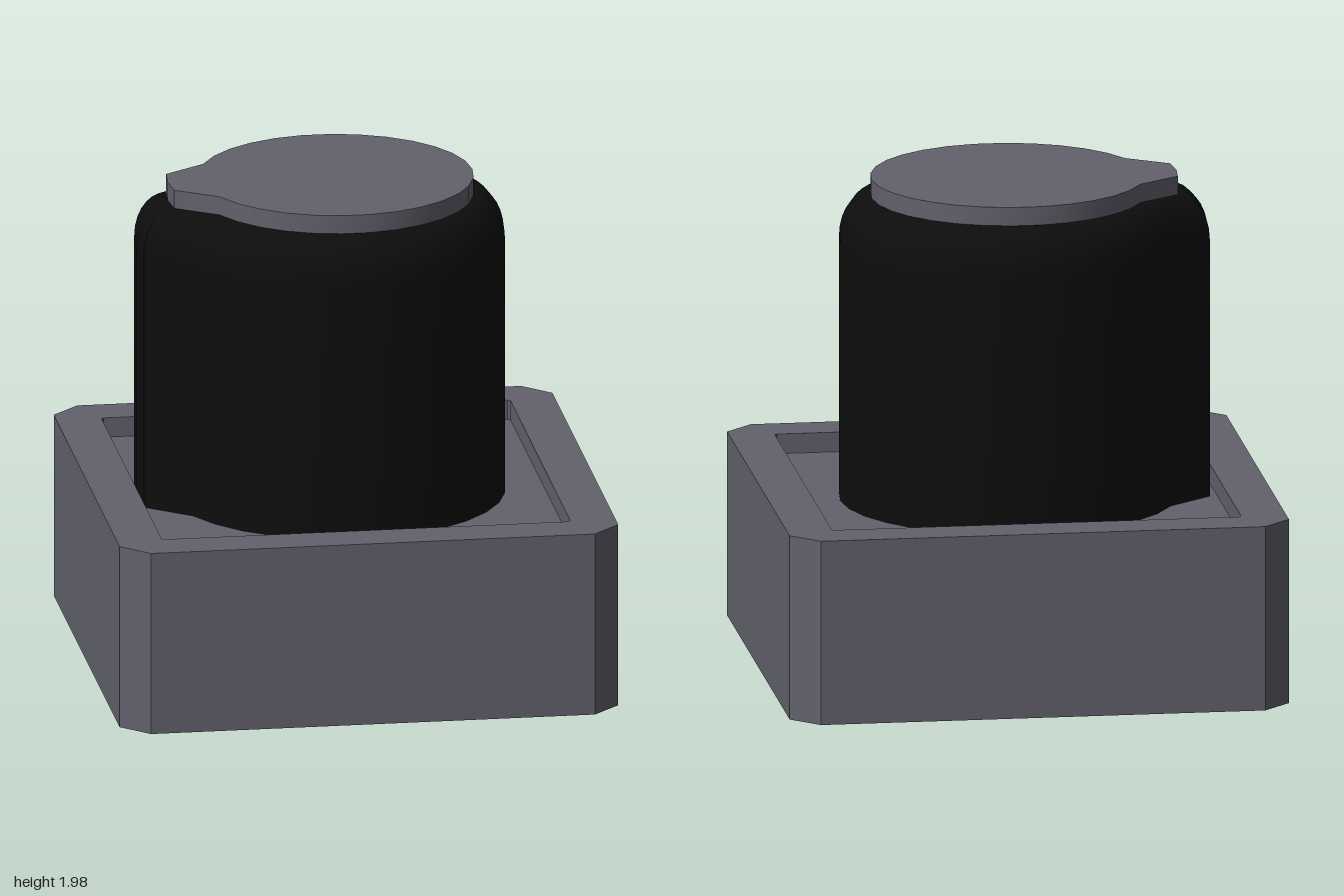
import * as THREE from 'three';
import { toCreasedNormals } from 'three/addons/utils/BufferGeometryUtils.js';

// Skins a stack of rings ([{ y, pts: [[x, z], ...] }], counter-clockwise from above) and closes both ends
function loft(rings) {
  const n = rings[0].pts.length;
  const pos = [], idx = [];
  for (const { y, pts } of rings) for (const [x, z] of pts) pos.push(x, y, z);
  const last = (rings.length - 1) * n;
  const bottom = rings.length * n, top = bottom + 1;
  pos.push(0, rings[0].y, 0, 0, rings[rings.length - 1].y, 0);
  for (let j = 0; j < n; j++) {
    const k = (j + 1) % n;
    for (let r = 0; r < last; r += n) {
      idx.push(r + j, r + k, r + n + k, r + j, r + n + k, r + n + j);
    }
    idx.push(bottom, k, j, top, last + j, last + k);
  }
  const geo = new THREE.BufferGeometry();
  geo.setAttribute('position', new THREE.Float32BufferAttribute(pos, 3));
  geo.setIndex(idx);
  return toCreasedNormals(geo, 0.6);
}

// Square of half-width h with corners cut by c
function cutSquare(h, c) {
  const k = h - c;
  return [[h, k], [h, -k], [k, -h], [-k, -h], [-h, -k], [-h, k], [-k, h], [k, h]];
}

// Round knob outline with a pointer nose on the -x side
function knobOutline(radius, noseX, noseZ) {
  const sides = 30, mid = sides / 2, pts = [];
  for (let i = 0; i < sides; i++) {
    const a = (i / sides) * Math.PI * 2;
    if (i === mid) pts.push([-noseX, 0]);
    else if (Math.abs(i - mid) === 1) pts.push([-noseX + 0.01, (i - mid) * noseZ]);
    else pts.push([radius * Math.cos(a), -radius * Math.sin(a)]);
  }
  return pts;
}

export function createModel() {
  const group = new THREE.Group();
  const grey = new THREE.MeshStandardMaterial({ color: 0x62616c });
  const black = new THREE.MeshStandardMaterial({ color: 0x0d0d0d });
  const add = (name, geo, mat) => {
    const mesh = new THREE.Mesh(geo, mat);
    mesh.name = name;
    group.add(mesh);
  };

  // Square housing with chamfered corners and a shallow recess on top
  const outer = cutSquare(1, 0.11), inner = cutSquare(0.82, 0.01);
  const floorY = 0.67;
  add('base', loft([
    { y: 0, pts: outer },
    { y: 0.75, pts: outer },
    { y: 0.75, pts: inner },
    { y: floorY, pts: inner },
  ]), grey);

  // Knob body with a rounded shoulder
  const wide = knobOutline(0.672, 0.8, 0.13);
  const narrow = knobOutline(0.547, 0.675, 0.11);
  const rings = [{ y: floorY, pts: wide }];
  const steps = 7;
  for (let i = 0; i <= steps; i++) {
    const a = (i / steps) * Math.PI / 2;
    const t = 1 - Math.cos(a);
    rings.push({
      y: 1.72 + 0.18 * Math.sin(a),
      pts: wide.map(([x, z], j) => [x + (narrow[j][0] - x) * t, z + (narrow[j][1] - z) * t]),
    });
  }
  add('knobBody', loft(rings), black);

  // Thin plate on top of the knob
  add('knobCap', loft([{ y: 1.89, pts: narrow }, { y: 1.975, pts: narrow }]), grey);

  return group;
}
